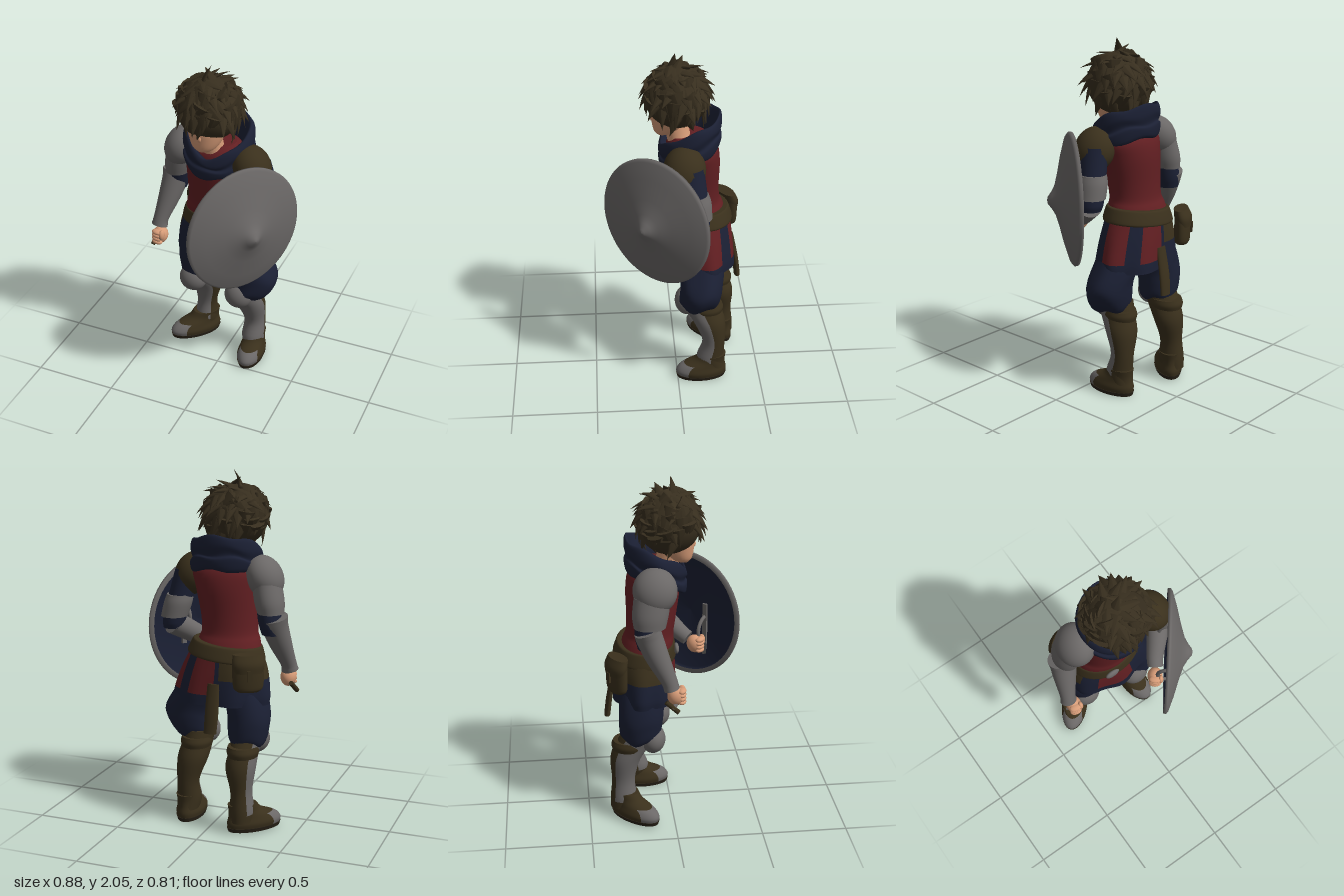
import * as THREE from 'three';
import { mergeGeometries } from 'three/addons/utils/BufferGeometryUtils.js';

const mat = (name, color) => {
  const m = new THREE.MeshStandardMaterial({ color, side: THREE.DoubleSide });
  m.name = name;
  return m;
};
const steel = mat('steel', 0x6b6867), leather = mat('leather', 0x3a301c), hairBrown = mat('hairBrown', 0x372e1e);
const red = mat('redCloth', 0x621f22), navy = mat('navyCloth', 0x1b2034), skin = mat('skin', 0xd79c78);
const sole = mat('sole', 0x2a2318);
const V = (x, y, z) => new THREE.Vector3(x, y, z);

function mesh(name, geo, material, parent) {
  const m = new THREE.Mesh(geo, material);
  m.name = name;
  parent.add(m);
  return m;
}

// Smooth body through rings [x, y, z, rx, rz], listed from bottom to top.
// pick(angle, y) chooses a material index; angle 0 faces +z, and +x is at PI / 2.
function loft(rings, { pick = () => 0, aligned = false, warp = null, cap = true, sides = 32, sub = 4 } = {}) {
  const mid = new THREE.CatmullRomCurve3(rings.map(r => V(r[0], r[1], r[2])), false, 'catmullrom', 0.5);
  const rad = new THREE.CatmullRomCurve3(rings.map(r => V(r[3], r[4], 0)), false, 'catmullrom', 0.5);
  const n = (rings.length - 1) * sub, pos = [], lists = [[], [], []];
  const addRing = (t, k) => {
    const c = mid.getPoint(t), r = rad.getPoint(t), T = aligned ? mid.getTangent(t) : V(0, 1, 0);
    const X = T.clone().cross(V(0, 0, 1)).normalize(), Z = X.clone().cross(T);
    for (let j = 0; j < sides; j++) {
      const a = j / sides * Math.PI * 2;
      const p = c.clone().addScaledVector(X, Math.sin(a) * r.x * k).addScaledVector(Z, Math.cos(a) * r.y * k);
      if (warp) warp(p, a);
      pos.push(p.x, p.y, p.z);
    }
  };
  const join = (lo, hi, y) => {
    for (let j = 0; j < sides; j++) {
      const k = (j + 1) % sides;
      lists[pick((j + 0.5) / sides * Math.PI * 2, y)].push(lo + j, lo + k, hi + k, lo + j, hi + k, hi + j);
    }
  };
  for (let i = 0; i <= n; i++) addRing(i / n, 1);
  for (let i = 0; i < n; i++) join(i * sides, (i + 1) * sides, mid.getPoint((i + 0.5) / n).y);
  if (cap) {
    [[0, 0], [0, 1], [1, 1], [1, 0]].forEach(([t, k]) => addRing(t, k));
    join((n + 1) * sides, (n + 2) * sides, rings[0][1]);
    join((n + 3) * sides, (n + 4) * sides, rings[rings.length - 1][1]);
  }
  const g = new THREE.BufferGeometry();
  g.setAttribute('position', new THREE.Float32BufferAttribute(pos, 3));
  g.setIndex(lists.flat());
  let start = 0;
  lists.forEach((l, i) => { if (l.length) g.addGroup(start, l.length, i); start += l.length; });
  g.computeVertexNormals();
  return g;
}
function ball(name, material, p, r, parent) {
  const m = mesh(name, new THREE.SphereGeometry(1, 28, 18), material, parent);
  m.position.set(...p);
  m.scale.set(...r);
  return m;
}
function box(name, material, p, s, parent, ry = 0, rx = 0) {
  const m = mesh(name, new THREE.BoxGeometry(...s), material, parent);
  m.position.set(...p);
  m.rotation.set(rx, ry, 0, 'YXZ');
  return m;
}
function rod(name, material, a, b, r, parent) {
  const A = V(...a), B = V(...b), m = mesh(name, new THREE.CylinderGeometry(r, r, A.distanceTo(B), 12), material, parent);
  m.position.copy(A).add(B).multiplyScalar(0.5);
  m.quaternion.setFromUnitVectors(V(0, 1, 0), B.sub(A).normalize());
}

// Tousled hair: a rounded cap overlaid with flat, curved locks
function hair() {
  let seed = 7;
  const rnd = () => ((seed = (seed * 16807) % 2147483647) / 2147483647) - 0.5;
  const c = V(-0.05, 1.79, -0.005), parts = [];
  parts.push(new THREE.SphereGeometry(1, 28, 20).scale(0.188, 0.18, 0.18).translate(c.x, c.y, c.z));
  const count = 150;
  for (let i = 0; i < count; i++) {
    const y = 1 - 2 * (i + 0.5) / count, r = Math.sqrt(1 - y * y), a = i * 2.39996;
    const n = V(Math.cos(a) * r, y, Math.sin(a) * r);
    if (y < (n.z > 0.25 ? -0.2 : -0.55)) continue;
    const down = V(0, -1, 0).addScaledVector(n, n.y);
    const dir = n.clone().multiplyScalar(0.24).addScaledVector(down, 0.85)
      .add(V(rnd(), rnd() * 0.5, rnd()).multiplyScalar(0.9)).normalize();
    const X = dir.clone().cross(n).normalize(), Z = X.clone().cross(dir);
    const g = new THREE.ConeGeometry(0.05, 0.14 + rnd() * 0.04, 8, 4);
    const p = g.attributes.position;
    for (let k = 0; k < p.count; k++) {
      const h = p.getY(k) + 0.06;
      p.setZ(k, p.getZ(k) * 0.4 - h * h * 1.3);
    }
    const o = c.clone().add(n.multiply(V(0.18, 0.172, 0.174))).addScaledVector(dir, 0.025);
    g.applyMatrix4(new THREE.Matrix4().makeBasis(X, dir, Z).setPosition(o));
    g.computeVertexNormals();
    parts.push(g);
  }
  return mergeGeometries(parts);
}

// Fist with curled fingers and a thumb, centred on p
function fist(name, p, yaw, parent) {
  const g = new THREE.Group();
  g.name = name;
  g.position.set(...p);
  g.rotation.y = yaw;
  parent.add(g);
  ball('palm', skin, [0, 0, 0], [0.045, 0.055, 0.05], g);
  for (let i = 0; i < 4; i++) ball('finger', skin, [0, 0.033 - i * 0.022, 0.034], [0.036, 0.016, 0.024], g);
  ball('thumb', skin, [0.032, 0.02, 0.03], [0.016, 0.034, 0.022], g);
}

export function createModel() {
  const root = new THREE.Group();
  root.name = 'shieldBearer';

  // Head
  mesh('hair', hair(), hairBrown, root);
  mesh('face', loft([[-0.055, 1.56, 0.075, 0.035, 0.03], [-0.053, 1.585, 0.058, 0.072, 0.066], [-0.05, 1.64, 0.035, 0.102, 0.1],
    [-0.05, 1.71, 0.015, 0.122, 0.125], [-0.05, 1.82, 0, 0.12, 0.12]]), skin, root);
  ball('nose', skin, [-0.052, 1.66, 0.13], [0.014, 0.022, 0.016], root);
  mesh('neck', loft([[-0.03, 1.44, -0.06, 0.09, 0.085], [-0.04, 1.54, -0.02, 0.07, 0.07], [-0.05, 1.64, 0, 0.07, 0.07]]), skin, root);

  // Folded hood, low at the throat and high behind the neck
  const C = [-0.025, -0.08];
  const fold = (y, rx, rz) => [C[0], y, C[1], rx, rz];
  mesh('hood', loft([fold(1.455, 0.17, 0.14), fold(1.465, 0.205, 0.172), fold(1.52, 0.215, 0.18), fold(1.545, 0.2, 0.168),
    fold(1.59, 0.212, 0.18), fold(1.64, 0.2, 0.175), fold(1.645, 0.175, 0.16), fold(1.56, 0.14, 0.125), fold(1.46, 0.12, 0.1)], {
    cap: false, sides: 48,
    warp: (p, a) => {
      const front = Math.exp(-Math.pow(Math.sin(a / 2) * 2.4, 2));
      p.y -= 0.32 * (p.z - C[1]) + front * (0.03 + Math.max(0, p.y - 1.5) * 0.35) - 0.008 * Math.sin(a * 5 + p.y * 30);
    },
  }), navy, root);

  // Tunic
  mesh('tunic', loft([[-0.06, 1.02, -0.15, 0.2, 0.16], [-0.06, 1.1, -0.13, 0.182, 0.148], [-0.06, 1.15, -0.12, 0.165, 0.138],
    [-0.055, 1.25, -0.11, 0.17, 0.143], [-0.04, 1.4, -0.1, 0.19, 0.155], [-0.03, 1.5, -0.09, 0.2, 0.145], [-0.03, 1.56, -0.08, 0.11, 0.1]]), red, root);
  // Skirt with red panels and a leather wrap on the right hip
  const panels = [[-0.6, 0.25], [1.35, 2.15], [2.55, 3.15]];
  const skirtPick = (a, y) => {
    if (y > 0.9 && a > 3.2 && a < 5.2) return 2;
    const s = a > Math.PI * 1.3 ? a - Math.PI * 2 : a;
    return y > 0.81 && panels.some(([lo, hi]) => s > lo && s < hi) ? 1 : 0;
  };
  mesh('skirt', loft([[-0.03, 0.75, -0.16, 0.285, 0.187], [-0.035, 0.81, -0.16, 0.285, 0.185], [-0.045, 0.93, -0.155, 0.255, 0.18],
    [-0.05, 1.05, -0.15, 0.205, 0.168]], {
    pick: skirtPick, cap: false, sides: 64,
    warp: (p, a) => { const k = (1.05 - p.y) * 0.035 * Math.cos(a * 7); p.x += Math.sin(a) * k; p.z += Math.cos(a) * k; },
  }), [navy, red, leather], root);

  // Belt, buckle, pouch and hanging strap
  mesh('belt', loft([[-0.05, 1.005, -0.15, 0.225, 0.182], [-0.05, 1.02, -0.15, 0.228, 0.184], [-0.055, 1.08, -0.145, 0.205, 0.17], [-0.055, 1.09, -0.145, 0.195, 0.16]],
    { warp: p => { p.y += 0.1 * (p.x + 0.05); } }), leather, root);
  ball('buckle', steel, [-0.11, 1.045, 0.03], [0.045, 0.03, 0.016], root);
  const pouch = new THREE.Group();
  pouch.name = 'pouch';
  pouch.position.set(-0.245, 0.965, -0.325);
  pouch.rotation.y = Math.PI + 0.5;
  root.add(pouch);
  mesh('pouchBody', loft([[0, -0.11, 0, 0.06, 0.035], [0, -0.08, 0, 0.085, 0.045], [0, 0.04, 0, 0.09, 0.045], [0, 0.09, -0.01, 0.08, 0.035]]), leather, pouch);
  mesh('pouchFlap', loft([[0, 0, 0.006, 0.082, 0.047], [0, 0.05, 0.004, 0.092, 0.05], [0, 0.1, -0.01, 0.085, 0.04]]), leather, pouch);
  box('pouchTie', leather, [0, -0.01, 0.054], [0.028, 0.06, 0.012], pouch);
  mesh('hangingStrap', loft([[-0.035, 0.6, -0.375, 0.038, 0.018], [-0.04, 0.72, -0.36, 0.04, 0.018], [-0.04, 0.88, -0.33, 0.036, 0.016]]), leather, root);

  // Legs: puffed breeches, boots with steel fronts, knee guards, feet
  const legs = [
    { side: 'left', yaw: 0.05, knee: [0.115, 0.52, -0.06], foot: [0.175, 0, -0.145], length: 1,
      breeches: [[0.14, 0.5, -0.12, 0.09, 0.09], [0.16, 0.54, -0.125, 0.125, 0.115], [0.182, 0.61, -0.135, 0.145, 0.122], [0.18, 0.68, -0.14, 0.145, 0.125], [0.12, 0.8, -0.15, 0.13, 0.13], [0.05, 0.95, -0.15, 0.11, 0.12]],
      boot: [[0.17, 0.07, -0.21, 0.065, 0.08], [0.165, 0.14, -0.2, 0.072, 0.082], [0.165, 0.25, -0.22, 0.066, 0.068], [0.145, 0.38, -0.195, 0.09, 0.095], [0.13, 0.47, -0.155, 0.088, 0.108], [0.12, 0.55, -0.13, 0.09, 0.11]] },
    { side: 'right', yaw: -0.75, knee: [-0.215, 0.52, -0.12], foot: [-0.25, 0.01, -0.23], length: 1.1,
      breeches: [[-0.19, 0.5, -0.19, 0.08, 0.085], [-0.195, 0.53, -0.19, 0.11, 0.115], [-0.2, 0.6, -0.19, 0.12, 0.125], [-0.2, 0.68, -0.185, 0.125, 0.13], [-0.17, 0.8, -0.175, 0.13, 0.13], [-0.13, 0.95, -0.16, 0.11, 0.12]],
      boot: [[-0.2, 0.07, -0.3, 0.065, 0.075], [-0.2, 0.14, -0.295, 0.07, 0.078], [-0.195, 0.25, -0.295, 0.063, 0.068], [-0.185, 0.38, -0.28, 0.087, 0.09], [-0.19, 0.47, -0.24, 0.085, 0.105], [-0.2, 0.55, -0.2, 0.088, 0.1]] },
  ];
  for (const L of legs) {
    mesh(L.side + 'Breeches', loft(L.breeches, { warp: (p, a) => { p.y += 0.012 * Math.sin(a * 4); } }), navy, root);
    mesh(L.side + 'Boot', loft(L.boot, { pick: (a, y) => (y > 0.125 && Math.cos(a - L.yaw) > 0.05 ? 1 : 0) }), [leather, steel], root);
    ball(L.side + 'KneeGuard', steel, L.knee, [0.088, 0.088, 0.075], root);
    const top = L.boot[4];
    mesh(L.side + 'BootCuff', loft([[top[0], 0.45, top[2] - 0.016, 0.084, 0.1], [top[0], 0.48, top[2] - 0.016, 0.092, 0.106], [top[0], 0.51, top[2] - 0.012, 0.086, 0.1]]), leather, root);
    const foot = new THREE.Group();
    foot.name = L.side + 'Foot';
    foot.position.set(...L.foot);
    foot.rotation.y = L.yaw;
    foot.scale.z = L.length;
    root.add(foot);
    mesh('shoe', loft([[0, 0.02, 0, 0.077, 0.15], [0, 0.05, 0, 0.082, 0.154], [0, 0.085, -0.012, 0.072, 0.135], [0, 0.12, -0.05, 0.064, 0.095], [0, 0.16, -0.07, 0.066, 0.08]],
      { pick: (a, y) => (Math.cos(a) > 0.62 && y < 0.095 ? 1 : 0) }), [leather, steel], foot);
    mesh('shoeSole', loft([[0, 0, 0, 0.074, 0.148], [0, 0.024, 0, 0.082, 0.155]]), sole, foot);
  }

  // Right arm, armoured, hand closed around a hilt
  mesh('rightSleeve', loft([[-0.325, 1.15, -0.15, 0.06, 0.06], [-0.31, 1.24, -0.15, 0.068, 0.075], [-0.28, 1.46, -0.12, 0.07, 0.09]]), navy, root);
  ball('rightPauldron', steel, [-0.262, 1.465, -0.105], [0.102, 0.13, 0.125], root).rotation.z = -0.5;
  mesh('rightArmPlate', loft([[-0.312, 1.27, -0.14, 0.075, 0.09], [-0.3, 1.34, -0.135, 0.084, 0.102], [-0.28, 1.44, -0.12, 0.08, 0.105]]), steel, root);
  mesh('rightBracer', loft([[-0.392, 0.92, -0.025, 0.05, 0.045], [-0.385, 0.97, -0.04, 0.046, 0.046], [-0.355, 1.1, -0.1, 0.066, 0.066], [-0.335, 1.2, -0.14, 0.078, 0.075], [-0.33, 1.25, -0.155, 0.085, 0.075]],
    { aligned: true }), steel, root);
  fist('rightHand', [-0.375, 0.87, 0], -0.2, root);
  rod('hiltGrip', steel, [-0.35, 0.875, 0.045], [-0.425, 0.81, -0.025], 0.012, root);
  rod('crossguard', leather, [-0.41, 0.85, -0.06], [-0.425, 0.79, 0.01], 0.014, root);

  // Left arm, bent behind the shield
  mesh('leftSleeve', loft([[0.3, 1.13, -0.1, 0.06, 0.06], [0.29, 1.2, -0.1, 0.068, 0.072], [0.22, 1.48, -0.05, 0.078, 0.09]]), navy, root);
  ball('leftShoulderPad', leather, [0.195, 1.45, -0.035], [0.11, 0.135, 0.12], root).rotation.z = 0.5;
  mesh('leftArmPlate', loft([[0.295, 1.2, -0.1, 0.078, 0.084], [0.275, 1.28, -0.09, 0.082, 0.09], [0.265, 1.33, -0.08, 0.076, 0.086]]), steel, root);
  mesh('leftBracer', loft([[0.13, 1, 0.125, 0.045, 0.045], [0.16, 1.03, 0.08, 0.05, 0.05], [0.23, 1.09, 0, 0.062, 0.062], [0.305, 1.16, -0.1, 0.07, 0.07]],
    { aligned: true }), steel, root);
  fist('leftHand', [0.1, 0.975, 0.165], -0.6, root);

  // Round shield with a pointed boss, dark lining and arm straps behind
  const shield = new THREE.Group();
  shield.name = 'shield';
  shield.position.set(0.215, 1.13, 0.13);
  shield.rotation.y = 0.913;
  shield.scale.set(0.94, 1.02, 1);
  root.add(shield);
  const disc = pts => new THREE.LatheGeometry(pts.map(p => new THREE.Vector2(...p)), 64).rotateX(Math.PI / 2);
  mesh('shieldFace', disc([[0.355, -0.015], [0.382, -0.015], [0.385, 0], [0.37, 0.012], [0.28, 0.04], [0.17, 0.068], [0.09, 0.092], [0.05, 0.115], [0.02, 0.138], [0, 0.142]]), steel, shield);
  mesh('shieldLining', disc([[0, 0.05], [0.2, 0.03], [0.345, 0.002], [0.356, -0.014]]), navy, shield);
  for (const s of [-1, 1]) {
    const strap = mesh('armStrap', new THREE.TorusGeometry(0.08, 0.012, 8, 20, Math.PI), steel, shield);
    strap.position.set(s * 0.12, -0.03 + s * 0.06, 0.025);
    strap.rotation.set(-Math.PI / 2, 0, Math.PI / 2, 'ZXY');
    box('strapPlate', steel, [s * 0.12, -0.03 + s * 0.06, 0.022], [0.03, 0.32, 0.014], shield);
  }
  return root;
}
